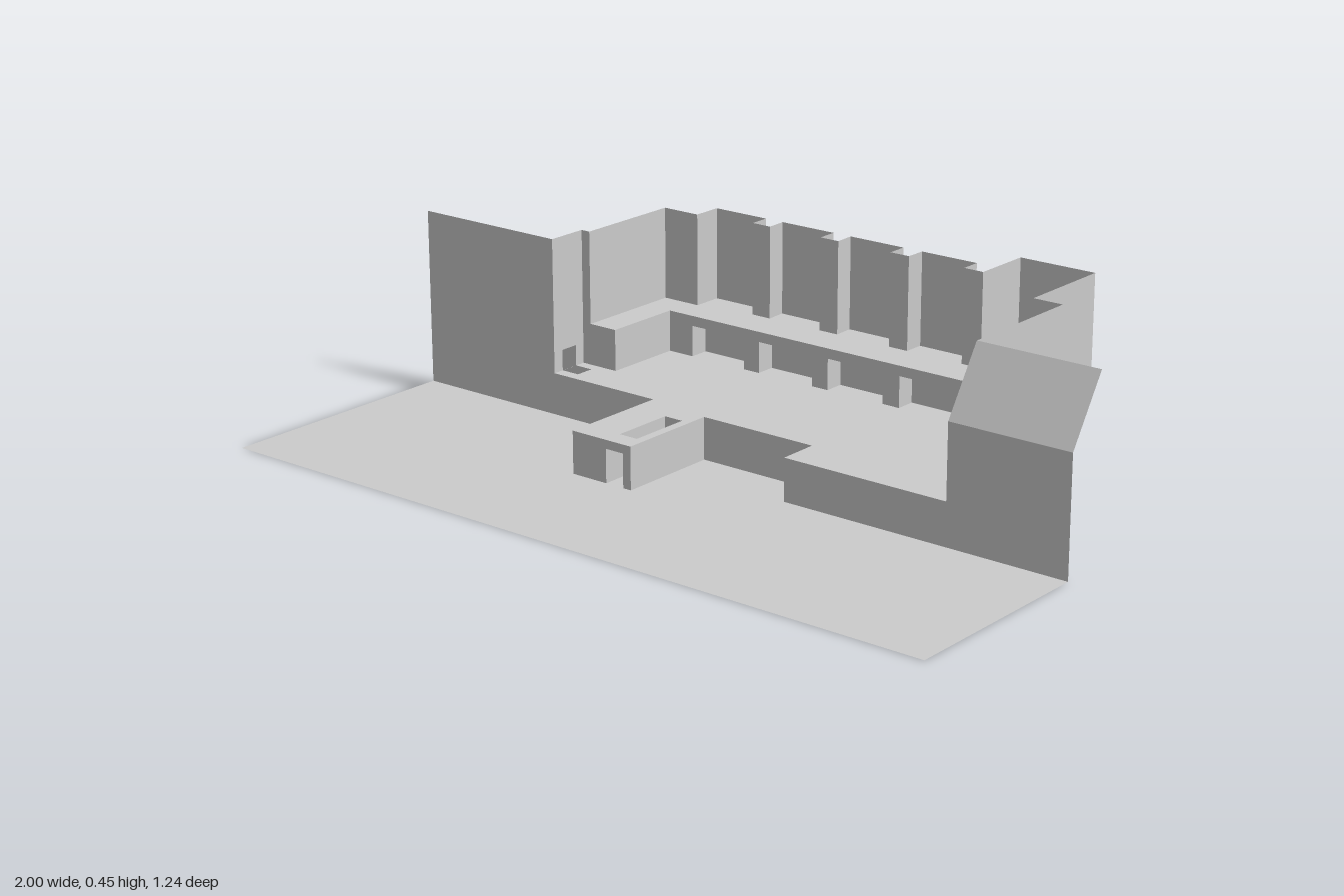
import * as THREE from 'three';

const material = new THREE.MeshStandardMaterial({ color: 0xcccccc, flatShading: true, side: THREE.DoubleSide });

// Main levels
const DECK = 0.107, LEDGE = 0.213, DOOR = 0.187, TOP = 0.45;

export function createModel() {
  const model = new THREE.Group();

  const add = (geometry, name, parent = model) => {
    const mesh = new THREE.Mesh(geometry, material);
    mesh.name = name;
    parent.add(mesh);
  };
  const group = (name) => {
    const g = new THREE.Group();
    g.name = name;
    model.add(g);
    return g;
  };
  const toShape = (points) => new THREE.Shape(points.map(([u, v]) => new THREE.Vector2(u, v)));

  // Horizontal sheet from [x, z] points, with optional holes
  const sheet = (name, points, y, holes = [], parent) => {
    const flip = (list) => list.map(([x, z]) => [x, -z]);
    const shape = toShape(flip(points));
    shape.holes = holes.map((h) => toShape(flip(h)));
    add(new THREE.ShapeGeometry(shape).rotateX(-Math.PI / 2).translate(0, y, 0), name, parent);
  };
  const rect = (x0, x1, z0, z1) => [[x0, z0], [x1, z0], [x1, z1], [x0, z1]];

  // Upright wall following a path of [x, z] points
  const wall = (name, path, y0, y1, parent) => {
    const position = [], index = [];
    for (let i = 0; i < path.length - 1; i++) {
      const [a, b] = [path[i], path[i + 1]], n = i * 4;
      position.push(a[0], y0, a[1], b[0], y0, b[1], b[0], y1, b[1], a[0], y1, a[1]);
      index.push(n, n + 1, n + 2, n, n + 2, n + 3);
    }
    const g = new THREE.BufferGeometry();
    g.setAttribute('position', new THREE.Float32BufferAttribute(position, 3));
    g.setIndex(index);
    g.computeVertexNormals();
    add(g, name, parent);
  };

  // Flat wall facing +z, with doorways [x0, x1] cut up from its foot
  const doorWall = (name, z, x0, x1, y0, y1, doors, doorTop) => {
    const pts = [[x0, y0]];
    for (const [a, b] of doors) pts.push([a, y0], [a, doorTop], [b, doorTop], [b, y0]);
    pts.push([x1, y0], [x1, y1], [x0, y1]);
    add(new THREE.ShapeGeometry(toShape(pts)).translate(0, 0, z), name);
  };

  // Short covered passage leading to a shaft that is open at the top
  const stairwell = (name, [x0, x1], zFront, zMid, zBack, y0, yDoor, yTop) => {
    const g = group(name);
    wall('passageSide', [[x0, zFront], [x0, zMid]], y0, yDoor, g);
    wall('passageSide', [[x1, zMid], [x1, zFront]], y0, yDoor, g);
    sheet('passageCeiling', rect(x0, x1, zMid, zFront), yDoor, [], g);
    wall('shaftWalls', [[x0, zMid], [x0, zBack], [x1, zBack], [x1, zMid]], y0, yTop, g);
    wall('shaftLintel', [[x1, zMid], [x0, zMid]], yDoor, yTop, g);
    if (y0 > 0) sheet('shaftFloor', rect(x0, x1, zBack, zFront), y0, [], g);
  };

  // Ground, wrapping around the front of the raised deck
  const slot = [-0.16, -0.108];
  const deckFront = [[-0.58, -0.04], [-0.262, -0.04], [-0.262, 0.25], [-0.085, 0.25],
    [-0.085, -0.017], [0.235, -0.017], [0.235, 0.087], [0.682, 0.087]];
  sheet('ground', [[-1, 0.615], [-1, -0.04], [-0.262, -0.04], [-0.262, 0.25],
    [slot[0], 0.25], [slot[0], 0.037], [slot[1], 0.037], [slot[1], 0.25],
    ...deckFront.slice(3, 7), [1, 0.087], [1, 0.615]], 0);

  // Raised deck with its front retaining walls
  wall('deckFrontLeft', deckFront.slice(0, 3), 0, DECK);
  doorWall('deckFrontDoorway', 0.25, -0.262, -0.085, 0, DECK, [slot], 0.085);
  wall('deckFrontRight', deckFront.slice(3), 0, DECK);
  stairwell('frontStairwell', slot, 0.25, 0.2, 0.037, 0, 0.085, DECK);
  const step = rect(-0.5795, -0.53, -0.12, -0.07);
  sheet('deck', [...deckFront, [0.682, -0.358], [-0.475, -0.358], [-0.475, -0.148], [-0.58, -0.148]],
    DECK, [rect(...slot, 0.037, 0.2), step]);

  // Tall flanking walls; the right one leans back at the top
  wall('leftFrontWall', [[-1, -0.04], [-0.58, -0.04]], 0, TOP);
  wall('rightFrontWall', [[0.682, 0.087], [1, 0.087]], 0, 0.292);
  const lean = new THREE.PlaneGeometry(0.318, 1);
  const p = lean.attributes.position;
  for (let i = 0; i < p.count; i++) {
    const upper = p.getY(i) > 0;
    p.setXYZ(i, p.getX(i) + 0.841, upper ? TOP : 0.292, upper ? -0.015 : 0.087);
  }
  lean.computeVertexNormals();
  add(lean, 'rightSlopedWall');

  // Left side wall with a low opening and a sunken side passage
  add(new THREE.ShapeGeometry(toShape([[0.04, DECK], [0.07, DECK], [0.07, 0.16], [0.12, 0.16],
    [0.12, DECK], [0.148, DECK], [0.148, TOP], [0.04, TOP]]))
    .rotateY(Math.PI / 2).translate(-0.58, 0, 0), 'leftSideWall');
  const left = group('leftPassage');
  sheet('passageFloor', rect(-0.765, -0.53, -0.12, -0.07), 0.055, [], left);
  sheet('passageCeiling', rect(-0.765, -0.58, -0.12, -0.07), 0.16, [], left);
  wall('passageWalls', [[-0.58, -0.07], [-0.765, -0.07], [-0.765, -0.12], [-0.58, -0.12]], 0.055, 0.16, left);
  wall('stepWalls', [[-0.58, -0.12], [-0.53, -0.12], [-0.53, -0.07], [-0.58, -0.07]], 0.055, DECK, left);

  // Right side wall with a small niche
  add(new THREE.ShapeGeometry(toShape([[0.087, DECK], [0.087, 0.292], [-0.015, TOP], [-0.358, TOP],
    [-0.358, DECK], [-0.25, DECK], [-0.25, DOOR], [-0.17, DOOR], [-0.17, DECK]]))
    .rotateY(-Math.PI / 2).translate(0.682, 0, 0), 'rightSideWall');
  const niche = group('rightNiche');
  wall('nicheWalls', [[0.682, -0.25], [0.76, -0.25], [0.76, -0.17], [0.682, -0.17]], DECK, DOOR, niche);
  for (const y of [DECK, DOOR]) sheet('nichePlate', rect(0.682, 0.76, -0.25, -0.17), y, [], niche);

  // Lower back wall with four alcoves and a doorway to the rear stairwell
  const alcoves = [-0.402, -0.19, 0.022, 0.235].map((x) => [x, x + 0.165]);
  const rearDoor = [0.444, 0.496];
  wall('ledgeLeftFace', [[-0.58, -0.148], [-0.475, -0.148], [-0.475, -0.358]], DECK, LEDGE);
  doorWall('ledgeBackFace', -0.358, -0.475, 0.682, DECK, LEDGE, [...alcoves, rearDoor], DOOR);
  for (const [a, b] of alcoves) {
    const g = group('alcove');
    wall('alcoveWalls', [[a, -0.358], [a, -0.41], [b, -0.41], [b, -0.358]], DECK, DOOR, g);
    for (const y of [DECK, DOOR]) sheet('alcovePlate', rect(a, b, -0.41, -0.358), y, [], g);
  }
  stairwell('rearStairwell', rearDoor, -0.358, -0.41, -0.567, DECK, DOOR, LEDGE);

  // Upper ledge and the back wall, whose bays alternate with pilasters
  const back = [[-0.555, -0.148], [-0.555, -0.437], [-0.45, -0.437]];
  for (const x of [-0.45, -0.24, -0.03, 0.183]) {
    back.push([x, -0.515], [x + 0.158, -0.515], [x + 0.158, -0.462], [x + 0.212, -0.462]);
  }
  back.push([0.395, -0.62], [0.603, -0.62], [0.603, -0.358]);
  sheet('ledge', [...back, [-0.475, -0.358], [-0.475, -0.148]], LEDGE, [rect(...rearDoor, -0.567, -0.41)]);
  wall('upperBackWall', [[-0.58, -0.148], ...back, [0.682, -0.358]], LEDGE, TOP);

  return model;
}
